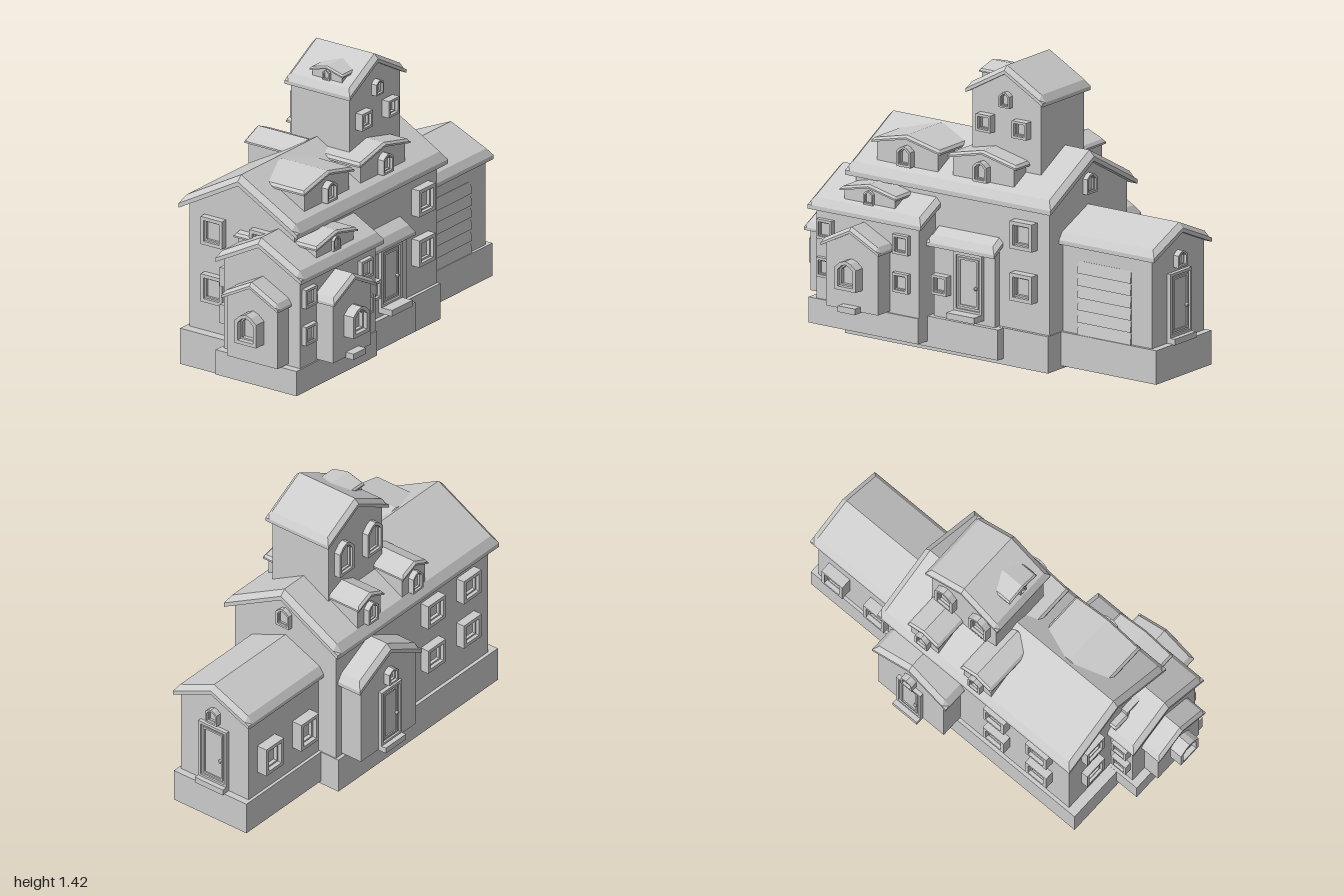
import * as THREE from 'three';

const material = new THREE.MeshStandardMaterial({ color: 0xcccccc, flatShading: true });
const turn = { front: 0, right: Math.PI / 2, back: Math.PI, left: -Math.PI / 2 };

function mesh(name, geometry, parent, x = 0, y = 0, z = 0) {
  const m = new THREE.Mesh(geometry, material);
  m.name = name;
  m.position.set(x, y, z);
  parent.add(m);
  return m;
}

function block(name, parent, x0, x1, y0, y1, z0, z1) {
  return mesh(name, new THREE.BoxGeometry(x1 - x0, y1 - y0, z1 - z0), parent,
    (x0 + x1) / 2, (y0 + y1) / 2, (z0 + z1) / 2);
}

// Chevron roof slab with chamfered upper edges, running from z = -len to 0
function roofGeometry(w, len, eave, apex, t) {
  const c = t * 0.55, pos = [], idx = [];
  const sections = [[-len, c], [-len + c, 0], [-c, 0], [0, c]];
  for (const [z, drop] of sections) {
    const ridge = apex - drop, side = eave + t - c;
    const full = eave + t + (apex - t - eave) * c / w;
    const top = drop ? side + (ridge - side) * c / w : full;
    const profile = [[-w, eave], [0, apex - t], [w, eave], [w, side],
      [w - c, top], [0, ridge], [c - w, top], [-w, side]];
    for (const [x, y] of profile) pos.push(x, y, z);
  }
  for (let s = 0; s < 3; s++) {
    for (let j = 0; j < 8; j++) {
      const a = s * 8 + j, b = s * 8 + (j + 1) % 8;
      idx.push(a, b, b + 8, a, b + 8, a + 8);
    }
  }
  for (const [a, b] of [[5, 6], [6, 7], [7, 0], [2, 3], [3, 4], [4, 5]]) {
    idx.push(25, 24 + a, 24 + b, 1, b, a);
  }
  const g = new THREE.BufferGeometry();
  g.setAttribute('position', new THREE.Float32BufferAttribute(pos, 3));
  g.setIndex(idx);
  const flat = g.toNonIndexed();
  flat.computeVertexNormals();
  return flat;
}

// Gabled block: walls and roof; (x, z) is the middle of its front roof edge
function gable(name, parent, side, x, z, w, len, eave, apex, t, floor, over) {
  const g = new THREE.Group();
  g.name = name;
  g.position.set(x, 0, z);
  g.rotation.y = turn[side];
  parent.add(g);
  const ww = w * 0.89, under = apex - t - (apex - t - eave) * 0.89 + 0.004;
  const shape = new THREE.Shape([[-ww, floor], [ww, floor], [ww, under], [0, apex - t + 0.004], [-ww, under]]
    .map(p => new THREE.Vector2(...p)));
  const depth = len - 2 * over;
  mesh(name + 'Walls', new THREE.ExtrudeGeometry(shape, { depth, bevelEnabled: false }), g, 0, 0, -len + over);
  mesh(name + 'Roof', roofGeometry(w, len, eave, apex, t), g);
}

// Outline of an opening, with a pointed head when peak > 0
function outline(Type, w, h, peak) {
  const p = [[-w / 2, -h / 2], [w / 2, -h / 2], [w / 2, h / 2 - peak]];
  if (peak) p.push([w / 4, h / 2 - peak * 0.3], [0, h / 2], [-w / 4, h / 2 - peak * 0.3]);
  p.push([-w / 2, h / 2 - peak]);
  return new Type(p.map(q => new THREE.Vector2(...q)));
}

function ring(w, h, peak, border, depth) {
  const s = outline(THREE.Shape, w, h, peak);
  s.holes.push(outline(THREE.Path, w - 2 * border, h - 2 * border, peak * 0.8));
  return new THREE.ExtrudeGeometry(s, { depth, bevelEnabled: false });
}

// Group set against a wall: u runs along the wall, plane is the wall's position
function fixture(name, parent, side, u, y, plane) {
  const g = new THREE.Group();
  g.name = name;
  const along = side === 'front' || side === 'back';
  g.position.set(along ? u : plane, y, along ? plane : u);
  g.rotation.y = turn[side];
  parent.add(g);
  return g;
}

function windowUnit(parent, side, u, y, plane, w, h, depth = 0.035, pointed = false) {
  const g = fixture('window', parent, side, u, y, plane);
  const peak = pointed ? h * 0.25 : 0, b = w * 0.14;
  mesh('windowFrame', ring(w, h, peak, b, depth + 0.01), g, 0, 0, -0.01);
  mesh('windowSash', ring(w - 2 * b, h - 2 * b, peak * 0.8, b * 0.45, depth * 0.6), g);
  const pane = new THREE.ShapeGeometry(outline(THREE.Shape, w - 2 * b, h - 2 * b, peak * 0.8));
  mesh('windowPane', pane, g, 0, 0, depth * 0.25);
}

function door(parent, side, u, plane, w, y0, y1, reach) {
  const h = y1 - y0;
  const g = fixture('door', parent, side, u, (y0 + y1) / 2, plane);
  mesh('doorFrame', ring(w, h, 0, 0.014, 0.03), g, 0, 0, -0.01);
  mesh('doorPanel', new THREE.BoxGeometry(w - 0.028, h - 0.028, 0.012), g, 0, 0, 0.004);
  mesh('doorTrim', ring(w - 0.05, h - 0.05, 0, 0.01, 0.008), g, 0, 0, 0.008);
  mesh('doorKnob', new THREE.SphereGeometry(0.01, 8, 6), g, w * 0.28, -0.02, 0.018);
  mesh('doorStep', new THREE.BoxGeometry(w, 0.03, reach), g, 0, -h / 2 - 0.012, reach / 2);
}

export function createModel() {
  const house = new THREE.Group();
  house.name = 'house';

  // Foundations
  block('mainFoundation', house, -0.39, 0.26, 0, 0.18, -0.43, 0.755);
  block('wingFoundation', house, -0.09, 0.38, 0.057, 0.182, 0.24, 0.88);
  block('entryFoundation', house, 0, 0.305, 0.03, 0.179, -0.17, 0.3);
  block('garageFoundation', house, -0.285, 0.155, 0.015, 0.181, -0.985, -0.42);

  // Gabled volumes
  gable('mainHouse', house, 'front', -0.065, 0.74, 0.345, 1.2, 0.78, 1.02, 0.05, 0.1, 0.035);
  gable('frontWing', house, 'front', 0.15, 0.87, 0.25, 0.66, 0.62, 0.795, 0.045, 0.1, 0.03);
  gable('frontBay', house, 'front', 0.157, 0.95, 0.165, 0.24, 0.485, 0.6, 0.03, 0.19, 0.025);
  gable('sideBay', house, 'right', 0.49, 0.56, 0.17, 0.28, 0.485, 0.6, 0.03, 0.19, 0.02);
  gable('entry', house, 'front', 0, 0.24, 0.315, 0.395, 0.525, 0.76, 0.04, 0.1, 0.02);
  gable('leftPorch', house, 'left', -0.505, -0.18, 0.23, 0.35, 0.59, 0.755, 0.045, 0.19, 0.015);
  gable('garage', house, 'back', -0.065, -0.98, 0.23, 0.58, 0.61, 0.755, 0.045, 0.1, 0.03);
  gable('tower', house, 'right', 0.145, -0.09, 0.225, 0.38, 1.255, 1.42, 0.04, 0.8, 0.02);

  // Dormers
  gable('towerDormer', house, 'front', -0.015, 0.105, 0.097, 0.145, 1.345, 1.385, 0.014, 1.295, 0.01);
  windowUnit(house, 'front', -0.015, 1.34, 0.095, 0.04, 0.05, 0.012, true);
  for (const z of [0.42, -0.025]) {
    gable('rightDormer', house, 'right', 0.235, z, 0.2, 0.29, 0.95, 1.015, 0.02, 0.825, 0.015);
    windowUnit(house, 'right', z, 0.915, 0.22, 0.08, 0.1, 0.035, true);
  }
  for (const z of [-0.19, 0.14]) {
    gable('leftDormer', house, 'left', -0.395, z, 0.095, 0.31, 0.95, 1.01, 0.02, 0.8, 0.015);
    windowUnit(house, 'left', z, 0.905, -0.38, 0.075, 0.11, 0.03, true);
  }
  gable('wingDormer', house, 'right', 0.37, 0.54, 0.165, 0.24, 0.73, 0.785, 0.018, 0.66, 0.015);
  gable('wingDormer', house, 'left', -0.085, 0.56, 0.185, 0.24, 0.71, 0.765, 0.018, 0.66, 0.015);
  windowUnit(house, 'right', 0.54, 0.72, 0.355, 0.055, 0.07, 0.015, true);

  // Square windows
  for (const [x, y] of [[-0.22, 0.697], [-0.22, 0.407], [0.065, 0.697]]) {
    windowUnit(house, 'front', x, y, 0.705, 0.125, 0.14);
  }
  for (const y of [0.398, 0.652]) {
    windowUnit(house, 'right', -0.29, y, 0.242, 0.13, 0.135, 0.045);
    for (const z of [0.27, 0.535]) windowUnit(house, 'left', z, y + 0.01, -0.372, 0.13, 0.13, 0.045);
  }
  for (const y of [0.343, 0.53]) {
    for (const z of [0.78, 0.335]) windowUnit(house, 'right', z, y, 0.372, 0.09, 0.095, 0.025);
    windowUnit(house, 'left', 0.78, y, -0.072, 0.09, 0.095);
  }
  windowUnit(house, 'right', 0.165, 0.343, 0.28, 0.09, 0.095, 0.04);
  for (const z of [-0.56, -0.82]) windowUnit(house, 'left', z, 0.38, -0.27, 0.13, 0.15, 0.055);
  for (const z of [0.02, -0.19]) {
    windowUnit(house, 'right', z, 1.125, 0.125, 0.085, 0.085, 0.04);
    windowUnit(house, 'left', z, 1.148, -0.215, 0.11, 0.175, 0.033, true);
  }

  // Pointed windows in gables and bays
  windowUnit(house, 'right', -0.095, 1.255, 0.125, 0.06, 0.075, 0.03, true);
  windowUnit(house, 'front', 0.163, 0.375, 0.925, 0.125, 0.155, 0.065, true);
  windowUnit(house, 'right', 0.56, 0.37, 0.47, 0.125, 0.145, 0.055, true);
  windowUnit(house, 'left', -0.18, 0.587, -0.49, 0.07, 0.08, 0.035, true);
  windowUnit(house, 'back', -0.065, 0.58, -0.95, 0.07, 0.08, 0.03, true);
  windowUnit(house, 'back', -0.065, 0.86, -0.425, 0.08, 0.1, 0.025, true);
  block('bayLedge', house, 0.46, 0.515, 0.185, 0.215, 0.51, 0.61);

  // Doors with steps
  door(house, 'right', 0.01, 0.28, 0.165, 0.23, 0.52, 0.08);
  door(house, 'left', -0.18, -0.49, 0.15, 0.215, 0.52, 0.045);
  door(house, 'back', -0.065, -0.95, 0.17, 0.205, 0.52, 0.045);

  // Slatted garage door
  const slats = 6, slatHeight = 0.36 / slats;
  for (let i = 0; i < slats; i++) {
    const slat = mesh('garageDoorSlat', new THREE.BoxGeometry(0.012, slatHeight, 0.31), house,
      0.14, 0.18 + slatHeight * (i + 0.5), -0.675);
    slat.rotation.z = 0.16;
  }
  return house;
}
